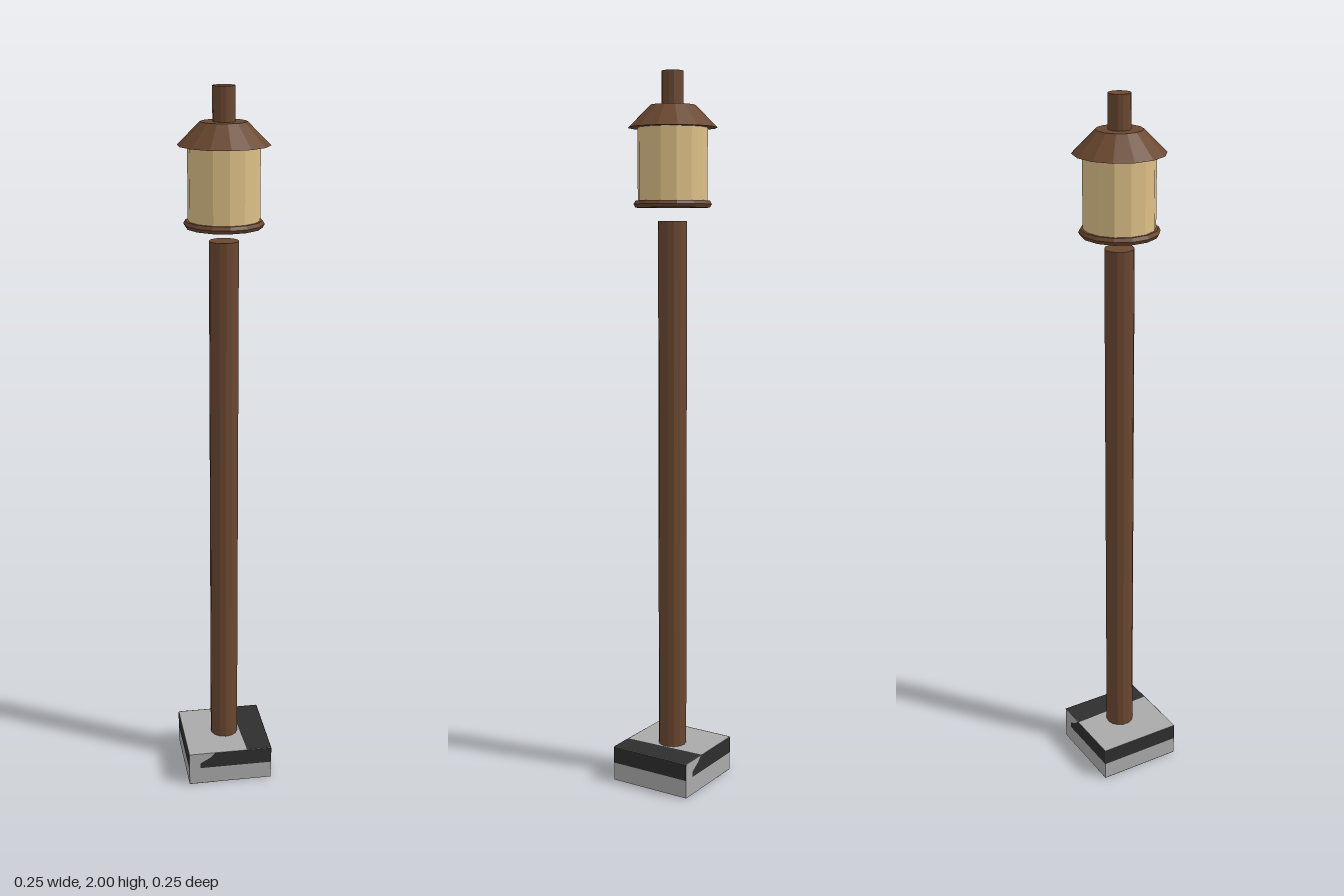
import * as THREE from 'three';

const mat = (name, color, extra = {}) => {
  const m = new THREE.MeshStandardMaterial({ color, flatShading: true, ...extra });
  m.name = name;
  return m;
};

export function createModel() {
  const group = new THREE.Group();
  const brown = mat('brown wood', 0x6a4830);
  const cream = mat('cream glass', 0xdec088);
  const grey = mat('grey stone', 0xaaaaaa);
  const dark = mat('dark stone', 0x2e2e2e, { side: THREE.DoubleSide });

  const add = (name, geometry, material, y = 0) => {
    const mesh = new THREE.Mesh(geometry, material);
    mesh.name = name;
    mesh.position.y = y;
    group.add(mesh);
    return mesh;
  };
  // Faceted tube or cone from height y0 to y1
  const drum = (name, r0, r1, y0, y1, material, sides = 14) =>
    add(name, new THREE.CylinderGeometry(r1, r0, y1 - y0, sides), material, (y0 + y1) / 2);

  // Stone base
  const W = 0.245, H = 0.1, h = W / 2, e = 0.0008;
  add('base', new THREE.BoxGeometry(W, H, W), grey, H / 2);

  // Dark patches painted on the base, one per face
  const patch = (name, points) => {
    const shape = new THREE.Shape(points.map(([x, y]) => new THREE.Vector2(x, y)));
    return add(name, new THREE.ShapeGeometry(shape), dark);
  };
  const notched = [[-0.09, 0.052], [h, 0.052], [h, H], [-0.045, H], [-0.06, 0.085], [-0.09, 0.068]];
  const band = [[-h, 0.052], [h, 0.052], [h, H], [-h, H]];
  for (let i = 0; i < 4; i++) {
    const a = i * Math.PI / 2;
    const p = patch('baseSidePatch', i % 2 ? band : notched);
    p.rotation.y = a;
    p.position.set(Math.sin(a) * (h + e), 0, Math.cos(a) * (h + e));
  }
  const strip = [[0.05, -h], [h, -h], [h, h], [0.04, h]];
  const topPatch = patch('baseTopPatch', strip);
  topPatch.rotation.x = -Math.PI / 2;
  topPatch.position.y = H + e;
  const bottomPatch = patch('baseBottomPatch', strip.map(([x, y]) => [-x, y]));
  bottomPatch.rotation.x = Math.PI / 2;
  bottomPatch.position.y = e / 2 - e;

  // Post, running through the base
  drum('post', 0.04, 0.04, -0.001, 1.6, brown);

  // Lantern floating above the post
  drum('lanternGlass', 0.096, 0.096, 1.645, 1.855, cream);
  const ring = add('lanternRing', new THREE.TorusGeometry(0.097, 0.011, 6, 14), brown, 1.646);
  ring.rotation.set(Math.PI / 2, 0, Math.PI / 2);
  drum('roof', 0.123, 0.062, 1.85, 1.91, brown);
  drum('finial', 0.03, 0.03, 1.9, 2.0, brown);
  return group;
}
